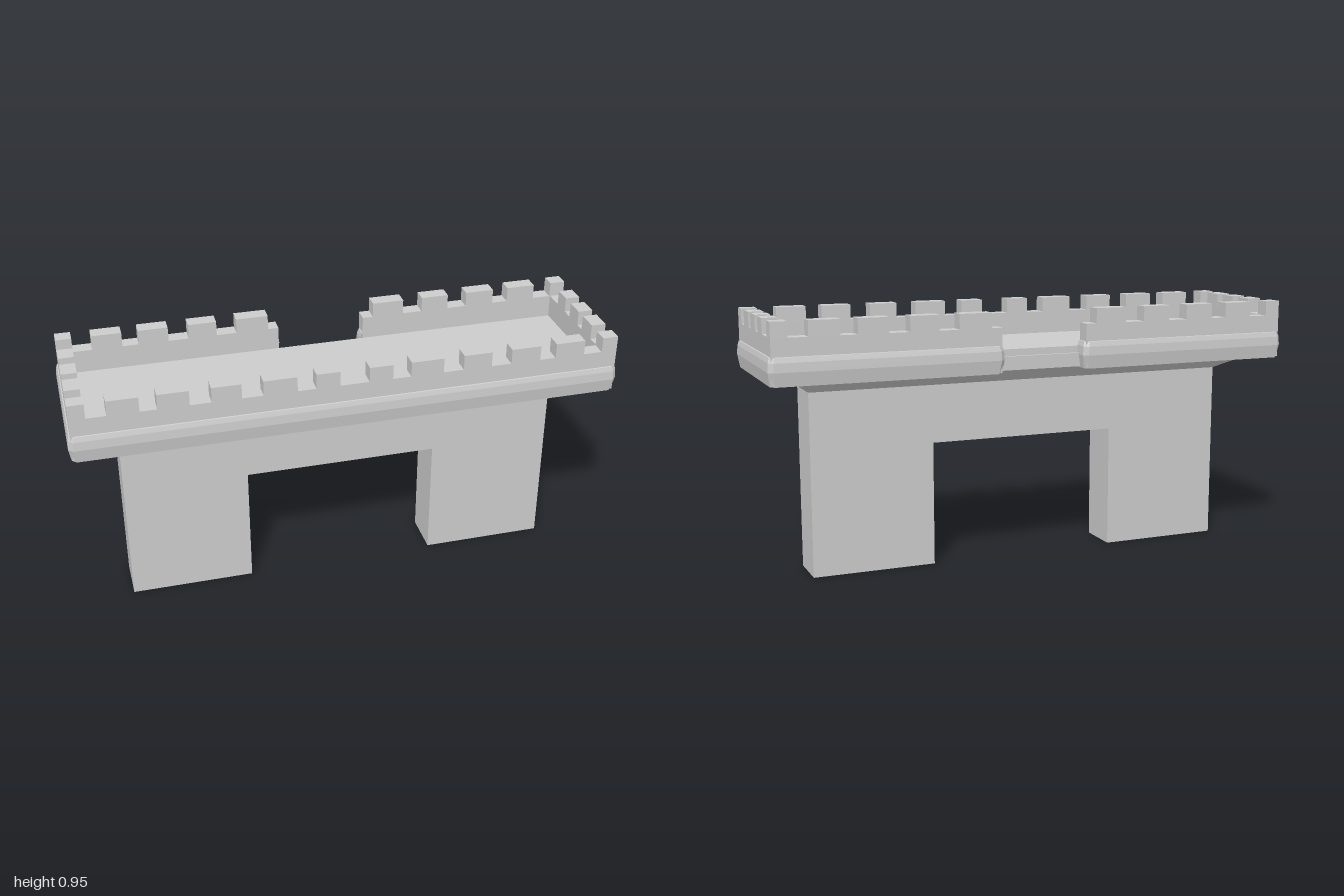
import * as THREE from 'three';

const material = new THREE.MeshStandardMaterial({ color: 0xcccccc, flatShading: true });

// Half sizes of the parapet, its wall thickness and the key heights
const X = 0.988, Z = 0.271, T = 0.055, NOTCH = 0.165;
const BASE = 0.735, CRENEL = 0.895, TOP = 0.95;

function add(group, name, geometry) {
  const mesh = new THREE.Mesh(geometry, material);
  mesh.name = name;
  group.add(mesh);
  return mesh;
}

// Box given by its minimum and maximum on each axis
function block(group, name, x0, x1, y0, y1, z0, z1) {
  const mesh = add(group, name, new THREE.BoxGeometry(x1 - x0, y1 - y0, z1 - z0));
  mesh.position.set((x0 + x1) / 2, (y0 + y1) / 2, (z0 + z1) / 2);
}

// Skin between stacked outlines; each level is { y, points: [[x, z], ...] }
function loft(levels) {
  const positions = [];
  for (let j = 0; j < levels.length - 1; j++) {
    const lo = levels[j], hi = levels[j + 1];
    for (let i = 0; i < lo.points.length - 1; i++) {
      const at = (level, k) => [level.points[k][0], level.y, level.points[k][1]];
      const a = at(lo, i), b = at(lo, i + 1), c = at(hi, i), d = at(hi, i + 1);
      positions.push(...a, ...c, ...b, ...b, ...c, ...d);
    }
  }
  const geometry = new THREE.BufferGeometry();
  geometry.setAttribute('position', new THREE.Float32BufferAttribute(positions, 3));
  geometry.computeVertexNormals();
  return geometry;
}

// Parapet outline grown by o, with cut corners and an opening at the back
function bandOutline(o) {
  const x = X + o, z = Z + o, e = NOTCH - o, c = 0.016;
  const half = [[e, -0.215], [e, c - z], [e + c, -z], [x - c, -z], [x, c - z], [x, z - c], [x - c, z]];
  return [...half, ...half.map(([px, pz]) => [-px, pz]).reverse()];
}

function rectangle(x, z0, z1) {
  return [[-x, z0], [x, z0], [x, z1], [-x, z1], [-x, z0]];
}

export function createModel() {
  const model = new THREE.Group();
  model.name = 'wallSection';

  // Wall with a square gateway
  const profile = new THREE.Shape([
    [-0.82, 0], [-0.36, 0], [-0.36, 0.46], [0.36, 0.46],
    [0.36, 0], [0.82, 0], [0.82, 0.675], [-0.82, 0.675],
  ].map(([x, y]) => new THREE.Vector2(x, y)));
  const wall = add(model, 'gateWall', new THREE.ExtrudeGeometry(profile, { depth: 0.165, bevelEnabled: false }));
  wall.position.z = -0.075;

  // Sloping support below the walkway
  add(model, 'flaredSupport', loft([
    { y: 0.675, points: rectangle(0.82, -0.075, 0.09) },
    { y: BASE, points: rectangle(0.9, -0.2, 0.215) },
  ]));

  // Walkway floor and the small ledge in the back opening
  block(model, 'walkway', -X + T, X - T, BASE, 0.81, -Z + T, Z - T);
  block(model, 'backLedge', -NOTCH, NOTCH, BASE, 0.785, -0.228, -0.2);

  // Parapet walls
  const parapet = new THREE.Group();
  parapet.name = 'parapet';
  model.add(parapet);
  block(parapet, 'frontParapet', -X, X, BASE, CRENEL, Z - T, Z);
  for (const s of [-1, 1]) {
    const span = (a, b) => (s > 0 ? [a, b] : [-b, -a]);
    block(parapet, 'sideParapet', ...span(X - T, X), BASE, CRENEL, -Z + T, Z - T);
    block(parapet, 'backParapet', ...span(NOTCH, X), BASE, CRENEL, -Z, -Z + T);
  }

  // Bulging band around the foot of the parapet
  add(model, 'parapetBand', loft([
    [BASE, -0.02], [0.731, 0.003], [0.78, 0.011], [0.812, 0.009], [0.83, 0.004], [0.832, -0.003],
  ].map(([y, o]) => ({ y, points: bandOutline(o) })))).material = material;

  // Merlons: mirrored along the front and back, then along the sides
  const merlons = new THREE.Group();
  merlons.name = 'merlons';
  model.add(merlons);
  const longSpans = [[0.93, X], [0.75, 0.86], [0.58, 0.69], [0.4, 0.505], [0.205, 0.325], [0.053, 0.138]];
  const sideSpans = [[0.085, 0.165], [-0.027, 0.047], [-0.14, -0.072]];
  for (const s of [-1, 1]) {
    const span = (a, b) => (s > 0 ? [a, b] : [-b, -a]);
    for (const [a, b] of longSpans) {
      block(merlons, 'frontMerlon', ...span(a, b), CRENEL, TOP, Z - T, Z);
      if (a > NOTCH) block(merlons, 'backMerlon', ...span(a, b), CRENEL, TOP, -Z, -Z + T);
    }
    for (const [a, b] of sideSpans) block(merlons, 'sideMerlon', ...span(X - T, X), CRENEL, TOP, a, b);
  }
  return model;
}
